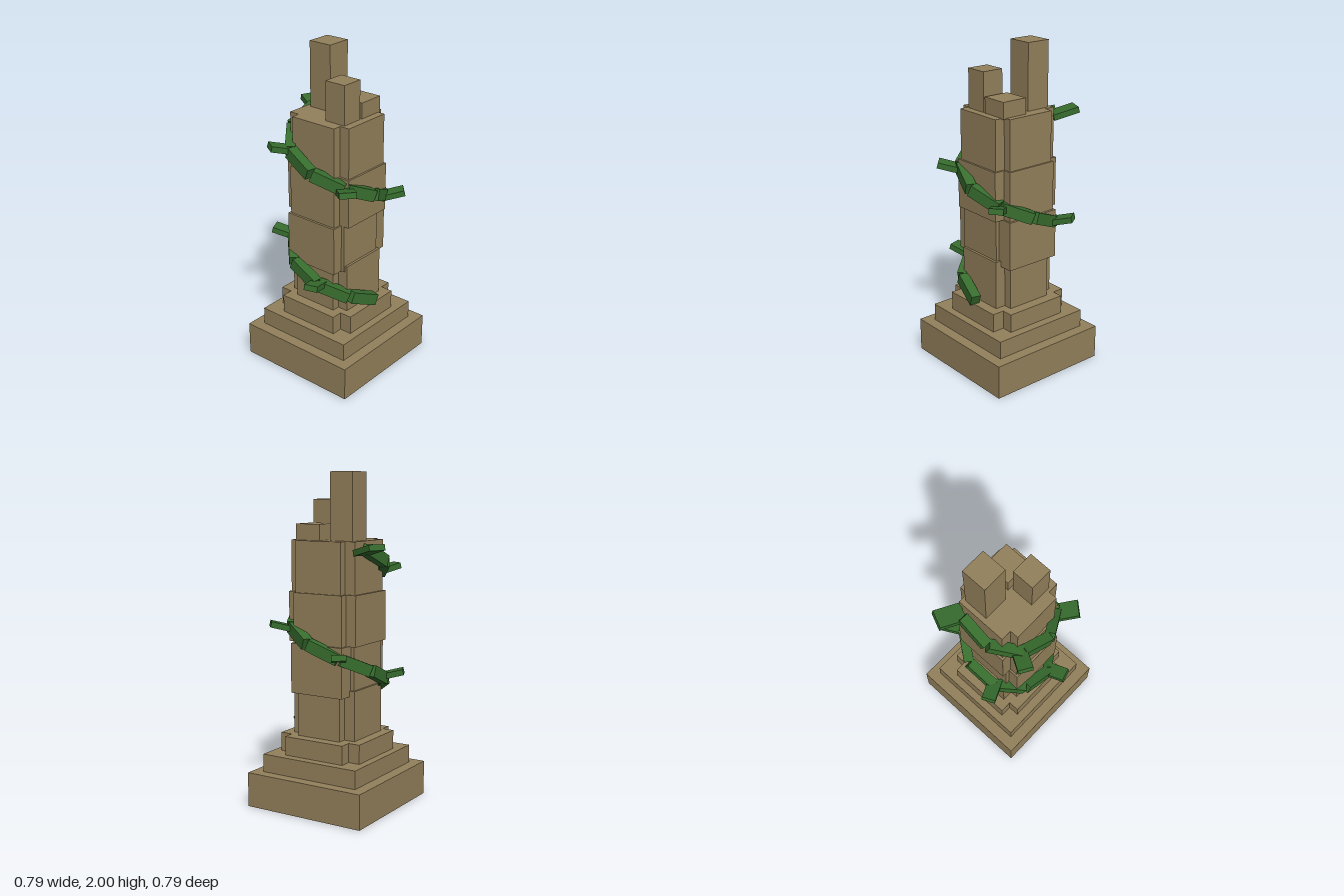
import * as THREE from 'three';

const stone = new THREE.MeshStandardMaterial({ color: 0x93805b });
stone.name = 'sandstone';
const green = new THREE.MeshStandardMaterial({ color: 0x376d2e });
green.name = 'vine green';

// Axis-aligned block given by its limits
function block(name, x0, x1, y0, y1, z0, z1) {
  const mesh = new THREE.Mesh(new THREE.BoxGeometry(x1 - x0, y1 - y0, z1 - z0), stone);
  mesh.position.set((x0 + x1) / 2, (y0 + y1) / 2, (z0 + z1) / 2);
  mesh.name = name;
  return mesh;
}

// Box centred on a point, its length running along dir
function beam(name, centre, dir, width, height, length) {
  const mesh = new THREE.Mesh(new THREE.BoxGeometry(width, height, length), green);
  mesh.position.copy(centre);
  mesh.lookAt(centre.clone().add(dir));
  mesh.name = name;
  return mesh;
}

export function createModel() {
  const model = new THREE.Group();
  model.name = 'ruinedColumn';

  // Stepped base
  model.add(block('plinth', -0.39, 0.395, 0, 0.21, -0.395, 0.39));
  model.add(block('baseStep', -0.32, 0.328, 0.21, 0.32, -0.328, 0.322));

  // Cross-shaped courses: y range, then wide box and deep box as x0, x1, z0, z1
  const courses = [
    [0.32, 0.435, [-0.273, 0.28, -0.205, 0.2], [-0.2, 0.203, -0.275, 0.268]],
    [0.43, 0.735, [-0.21, 0.217, -0.155, 0.157], [-0.14, 0.15, -0.21, 0.205]],
    [0.7, 1.0, [-0.197, 0.202, -0.14, 0.167], [-0.174, 0.18, -0.24, 0.235]],
    [1.0, 1.3, [-0.228, 0.236, -0.175, 0.17], [-0.163, 0.17, -0.226, 0.221]],
    [1.3, 1.605, [-0.215, 0.224, -0.164, 0.156], [-0.15, 0.16, -0.216, 0.21]],
  ];
  courses.forEach(([y0, y1, wide, deep], i) => {
    const course = new THREE.Group();
    course.name = `course${i + 1}`;
    for (const [part, b] of [['wideBlock', wide], ['deepBlock', deep]]) {
      course.add(block(part, b[0], b[1], y0, y1, b[2], b[3]));
    }
    model.add(course);
  });

  // Broken stumps on top
  model.add(block('tallStump', -0.186, -0.033, 1.6, 2, -0.143, 0.012));
  model.add(block('middleStump', 0.038, 0.176, 1.6, 1.84, 0, 0.138));
  model.add(block('shortStump', 0.015, 0.179, 1.6, 1.7, -0.18, -0.015));

  // Vine winding up the shaft in straight pieces
  const vine = new THREE.Group();
  vine.name = 'vine';
  const step = THREE.MathUtils.degToRad(40.7), rise = 0.0785, radius = 0.262;
  for (let i = 0; i < 14; i++) {
    const a = THREE.MathUtils.degToRad(77) - i * step;
    const centre = new THREE.Vector3(radius * Math.sin(a), 0.5 + i * rise, radius * Math.cos(a));
    const dir = new THREE.Vector3(-Math.cos(a), rise / (radius * step), Math.sin(a));
    vine.add(beam('vineSegment', centre, dir, 0.06, 0.07, 0.2));
  }

  // Leaves: tip x, y, z, outward direction x, z, width, length
  const leaves = [
    [0.125, 0.655, 0.38, 0.3, 0.95, 0.085, 0.14],
    [-0.357, 0.82, 0.168, -0.9, 0.43, 0.085, 0.15],
    [-0.22, 0.965, -0.343, -0.55, -0.83, 0.085, 0.15],
    [0.307, 1.11, -0.268, 0.75, -0.66, 0.085, 0.15],
    [0.312, 1.265, 0.268, 0.75, 0.66, 0.1, 0.15],
    [-0.217, 1.44, 0.333, -0.52, 0.85, 0.088, 0.15],
    [-0.373, 1.58, -0.186, -0.92, -0.4, 0.11, 0.16],
  ];
  for (const [x, y, z, dx, dz, width, length] of leaves) {
    const dir = new THREE.Vector3(dx, 0.25, dz).normalize();
    const centre = new THREE.Vector3(x, y, z).addScaledVector(dir, -length / 2);
    vine.add(beam('leaf', centre, dir, width, 0.035, length));
  }
  model.add(vine);
  return model;
}
